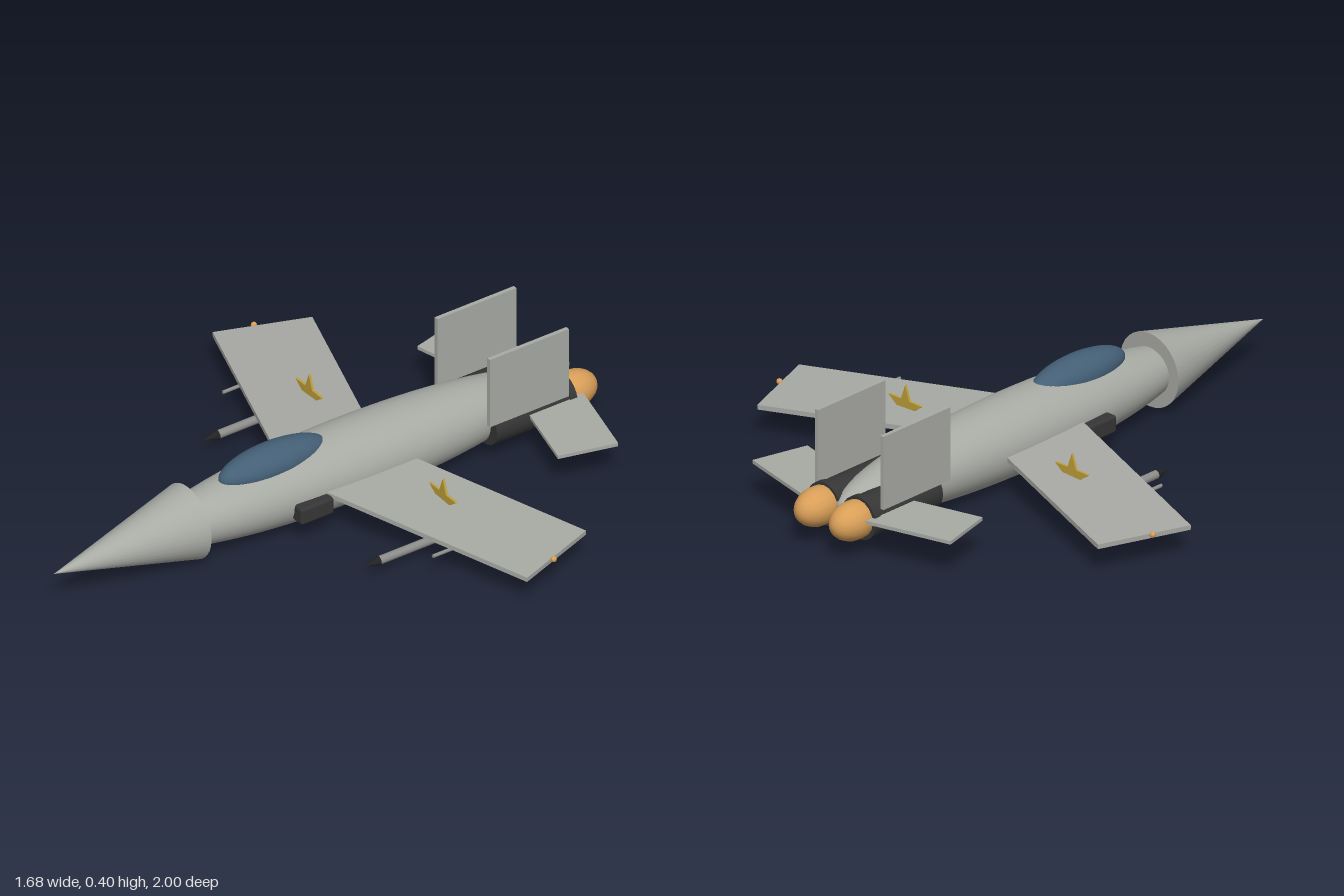
import * as THREE from 'three';
import { RoundedBoxGeometry } from 'three/addons/geometries/RoundedBoxGeometry.js';

export function createModel() {
  const model = new THREE.Group();
  model.name = 'jetAircraft';

  const paint = (name, color) => new THREE.MeshStandardMaterial({ name, color });
  const grey = paint('hull grey', 0xa8aaa4);
  const steel = paint('steel grey', 0x8c8c8a);
  const dark = paint('engine dark grey', 0x363636);
  const black = paint('black', 0x222222);
  const glass = paint('canopy blue', 0x445f76);
  const flame = paint('exhaust orange', 0xd99f58);
  const gold = paint('star gold', 0xbfa03a);

  const add = (name, geometry, material, x, y, z) => {
    const mesh = new THREE.Mesh(geometry, material);
    mesh.name = name;
    mesh.position.set(x, y, z);
    model.add(mesh);
    return mesh;
  };
  // Sphere stretched to three radii, with its poles on the z axis
  const ellipsoid = (rx, ry, rz, w = 32, h = 24) =>
    new THREE.SphereGeometry(1, w, h).rotateX(Math.PI / 2).scale(rx, ry, rz);
  // Cylinder or cone along z
  const rod = (rFront, rBack, length, sides = 24) =>
    new THREE.CylinderGeometry(rFront, rBack, length, sides).rotateX(Math.PI / 2);

  // Body, nose and canopy
  add('fuselage', ellipsoid(0.137, 0.127, 0.777, 40, 32), grey, 0, 0.128, -0.12);
  add('noseCone', rod(0, 0.125, 0.51, 32), grey, 0, 0.13, 0.745);
  add('canopy', ellipsoid(0.069, 0.062, 0.2), glass, 0, 0.229, 0.17);

  // Five-pointed star plate
  const star = new THREE.Shape();
  for (let i = 0; i < 10; i++) {
    const a = Math.PI / 2 + (i * Math.PI) / 5;
    const r = i % 2 ? 0.03 : 0.075;
    if (i) star.lineTo(r * Math.cos(a), r * Math.sin(a));
    else star.moveTo(r * Math.cos(a), r * Math.sin(a));
  }
  star.closePath();
  const starGeometry = new THREE.ExtrudeGeometry(star, { depth: 0.008, bevelEnabled: false });

  for (const s of [1, -1]) {
    const side = s > 0 ? 'left' : 'right';

    // Swept wing, drooping slightly towards the tip
    const wing = add(side + 'Wing', new THREE.BoxGeometry(0.8, 0.016, 0.32), grey, s * 0.409, 0.118, -0.213);
    wing.rotation.set(0, s * 0.349, -s * 0.044);
    add(side + 'WingLight', new THREE.SphereGeometry(0.01, 12, 8), flame, s * 0.8, 0.107, -0.328);
    add(side + 'WingStar', starGeometry, gold, s * 0.357, 0.13, -0.229);

    // Forward-swept tailplane and upright fin
    const tail = add(side + 'Tailplane', new THREE.BoxGeometry(0.34, 0.012, 0.2), grey, s * 0.235, 0.13, -0.785);
    tail.rotation.y = -s * 0.25;
    add(side + 'TailFin', new THREE.BoxGeometry(0.014, 0.25, 0.3), grey, s * 0.14, 0.28, -0.7);

    // Engine, nozzle rim and exhaust
    add(side + 'Engine', rod(0.068, 0.068, 0.3), dark, s * 0.075, 0.115, -0.73);
    add(side + 'NozzleRim', rod(0.072, 0.072, 0.025), dark, s * 0.075, 0.116, -0.872);
    add(side + 'Exhaust', ellipsoid(0.062, 0.064, 0.09, 16, 12), flame, s * 0.075, 0.118, -0.91);

    // Air intake
    add(side + 'Intake', new RoundedBoxGeometry(0.07, 0.06, 0.125, 2, 0.01), dark, s * 0.129, 0.106, 0.113);

    // Missile with nose and tail fins
    add(side + 'Missile', rod(0.014, 0.014, 0.33, 16), steel, s * 0.43, 0.055, -0.09);
    add(side + 'MissileNose', rod(0, 0.016, 0.055, 16), black, s * 0.43, 0.055, 0.1);
    add(side + 'MissileFins', new THREE.BoxGeometry(0.08, 0.006, 0.05), black, s * 0.43, 0.055, -0.22);

    // Slim probe under the outer wing
    add(side + 'Probe', rod(0.006, 0.006, 0.2, 12), steel, s * 0.56, 0.098, -0.14);
  }
  return model;
}
